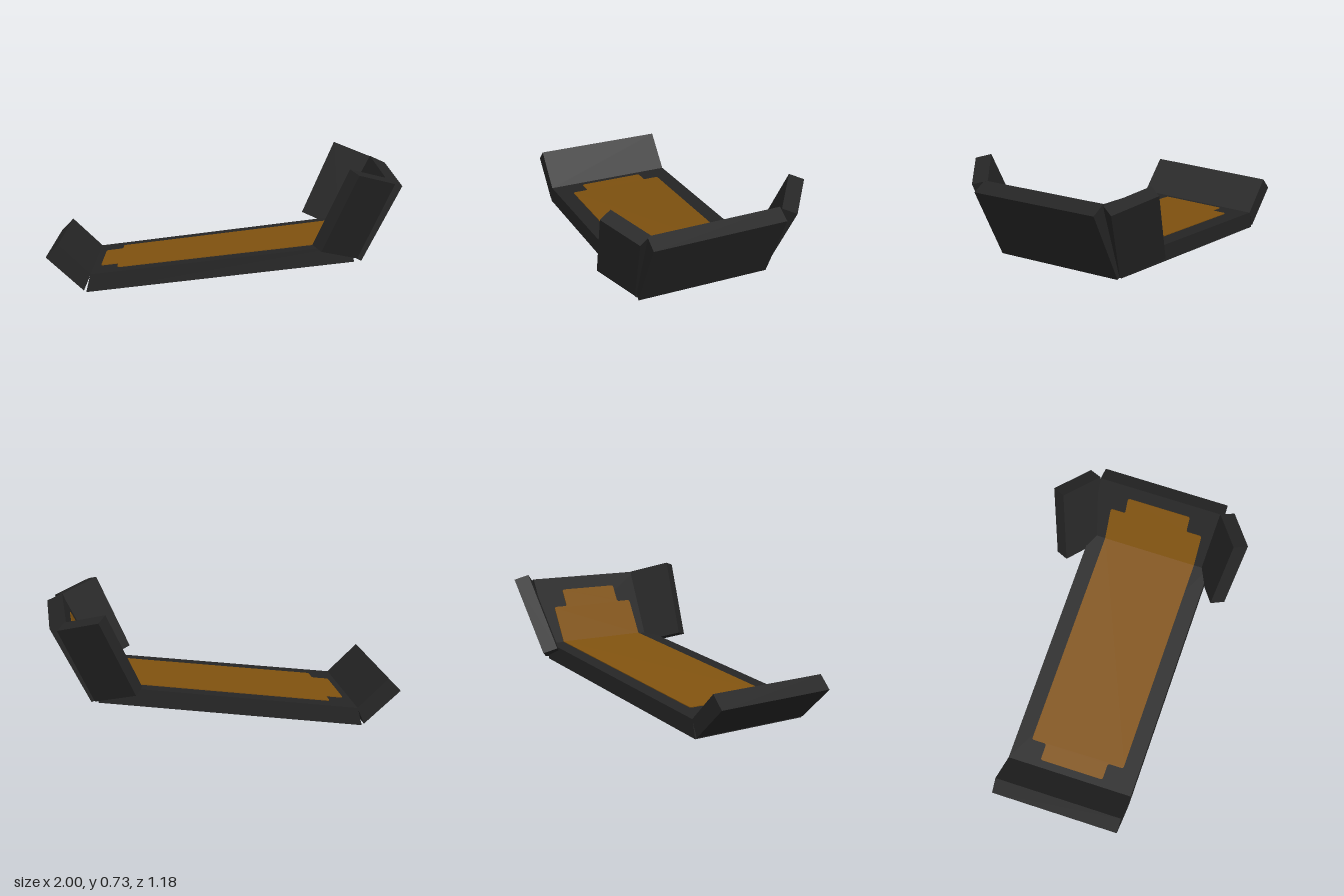
import * as THREE from 'three';

const FRONT = 0.395, BACK = -0.365;

// The panels sit very slightly skewed and twisted
function skew(geo) {
  const p = geo.attributes.position;
  for (let i = 0; i < p.count; i++) {
    const x = p.getX(i), y = p.getY(i), z = p.getZ(i);
    p.setXY(i, x + 0.017 * z, y - 0.013 * z * x);
  }
  geo.computeVertexNormals();
  return geo;
}

// Full-width panel from a side profile
function panel(points) {
  const shape = new THREE.Shape(points.map(([x, y]) => new THREE.Vector2(x, y)));
  const geo = new THREE.ExtrudeGeometry(shape, { depth: FRONT - BACK, bevelEnabled: false });
  geo.translate(0, 0, BACK);
  return skew(geo);
}

// Thin pad with stepped, softened corners, running from a fold line along dir
function inlay([ox, oy], angle, shoulder, end) {
  const pts = [
    [0, -0.3], [shoulder, -0.3], [shoulder, -0.205], [end, -0.205],
    [end, 0.18], [shoulder, 0.18], [shoulder, 0.27], [0, 0.27],
  ].map(([u, v]) => new THREE.Vector2(u, v));
  const shape = new THREE.Shape();
  shape.moveTo(pts[0].x, pts[0].y);
  for (let i = 1; i < 7; i++) {
    const c = pts[i];
    const a = c.clone().add(pts[i - 1].clone().sub(c).setLength(0.014));
    const b = c.clone().add(pts[i + 1].clone().sub(c).setLength(0.014));
    shape.lineTo(a.x, a.y);
    shape.quadraticCurveTo(c.x, c.y, b.x, b.y);
  }
  shape.lineTo(pts[7].x, pts[7].y);
  const geo = new THREE.ExtrudeGeometry(shape, { depth: 0.004, bevelEnabled: false, curveSegments: 4 });
  const c = Math.cos(angle), s = Math.sin(angle);
  geo.applyMatrix4(new THREE.Matrix4().makeBasis(
    new THREE.Vector3(c, s, 0), new THREE.Vector3(0, 0, -1), new THREE.Vector3(-s, c, 0),
  ).setPosition(ox, oy, 0));
  return skew(geo);
}

// Slanted block from one corner and three edges
function block(corner, e1, e2, e3) {
  const geo = new THREE.BoxGeometry(1, 1, 1).translate(0.5, 0.5, 0.5);
  const [a, b, c] = [e1, e2, e3].map((e) => new THREE.Vector3(...e));
  return geo.applyMatrix4(new THREE.Matrix4().makeBasis(a, b, c).setPosition(...corner));
}

export function createModel() {
  const group = new THREE.Group();
  const black = new THREE.MeshStandardMaterial({ name: 'black', color: 0x252525 });
  const amber = new THREE.MeshStandardMaterial({ name: 'amber', color: 0x80520f });
  const add = (name, geo, mat) => {
    const mesh = new THREE.Mesh(geo, mat);
    mesh.name = name;
    group.add(mesh);
  };

  // Folded base: long sloping bed, raised foot and reclined back
  add('bed', panel([[-0.77, 0.006], [0.735, 0.195], [0.72, 0.293], [-0.745, 0.11]]), black);
  add('footRest', panel([[-0.994, 0.205], [-0.783, 0.015], [-0.743, 0.11], [-0.922, 0.28]]), black);
  add('backRest', panel([[0.685, 0.245], [0.775, 0.2], [0.993, 0.627], [0.903, 0.668]]), black);

  // Side wings on the back
  add('frontWing', block([0.503, 0.305, 0.472],
    [0.21, -0.07, -0.14], [0.195, 0.43, 0.043], [0.045, -0.022, 0.075]), black);
  add('rearWing', block([0.49, 0.305, -0.445],
    [0.197, 0.43, -0.077], [0.22, -0.07, 0.15], [0.04, -0.028, -0.073]), black);

  // Padding meeting at the fold between bed and back
  const bedAngle = Math.atan2(0.183, 1.465), backAngle = Math.atan2(0.423, 0.218);
  const fold = [0.709, 0.2916];
  add('bedPad', inlay(fold, bedAngle, -1.32, -1.42), amber);
  add('backPad', inlay(fold, backAngle, 0.23, 0.34), amber);

  return group;
}
